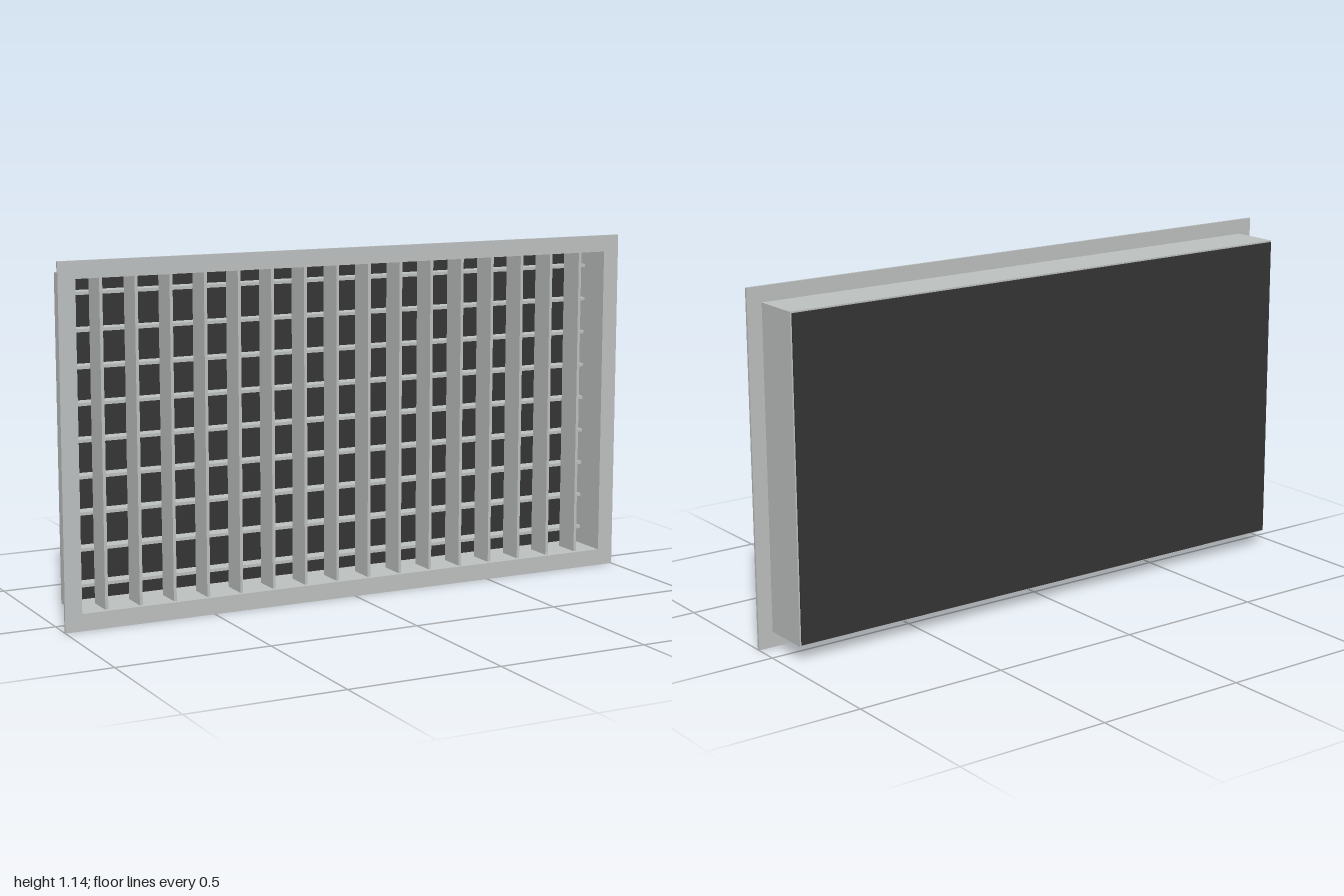
import * as THREE from 'three';

const silver = new THREE.MeshStandardMaterial({ color: 0xbcc0bf });
silver.name = 'silver metal';
const black = new THREE.MeshStandardMaterial({ color: 0x343434 });
black.name = 'black backing';

const H = 1.14, MID = H / 2;          // overall height and its centre
const INNER_W = 1.888, INNER_H = 1.03; // clear opening
const PITCH = 0.1144;                  // blade spacing both ways

// Rectangular ring extruded from z0 to z1
function ring(name, w, h, z0, z1) {
  const rect = (P, a, b) => {
    const p = new P();
    p.moveTo(-a / 2, -b / 2);
    p.lineTo(a / 2, -b / 2);
    p.lineTo(a / 2, b / 2);
    p.lineTo(-a / 2, b / 2);
    p.closePath();
    return p;
  };
  const shape = rect(THREE.Shape, w, h);
  shape.holes.push(rect(THREE.Path, INNER_W, INNER_H));
  const geo = new THREE.ExtrudeGeometry(shape, { depth: z1 - z0, bevelEnabled: false });
  const mesh = new THREE.Mesh(geo, silver);
  mesh.name = name;
  mesh.position.set(0, MID, z0);
  return mesh;
}

// Box spanning z0 to z1, centred on (x, y)
function slab(name, w, h, z0, z1, x, y, material) {
  const mesh = new THREE.Mesh(new THREE.BoxGeometry(w, h, z1 - z0), material);
  mesh.name = name;
  mesh.position.set(x, y, (z0 + z1) / 2);
  return mesh;
}

export function createModel() {
  const grille = new THREE.Group();
  grille.name = 'ventGrille';

  // Front flange and the duct collar behind it
  grille.add(ring('flange', 2, H, 0.08, 0.088));
  grille.add(ring('collar', 1.9, 1.04, -0.083, 0.08));

  // Dark panel closing the back
  grille.add(slab('backPanel', 1.89, 1.03, -0.088, -0.08, 0, MID, black));

  // Upright blades in front
  const uprights = new THREE.Group();
  uprights.name = 'verticalBlades';
  for (let i = 0; i < 16; i++) {
    uprights.add(slab('verticalBlade', 0.01, INNER_H, -0.017, 0.073, (i - 7.5) * PITCH, MID, silver));
  }

  // Level blades behind them
  const levels = new THREE.Group();
  levels.name = 'horizontalBlades';
  for (let i = 0; i < 9; i++) {
    levels.add(slab('horizontalBlade', INNER_W, 0.01, -0.077, -0.026, 0, MID + (i - 4) * PITCH, silver));
  }

  grille.add(uprights, levels);
  return grille;
}
